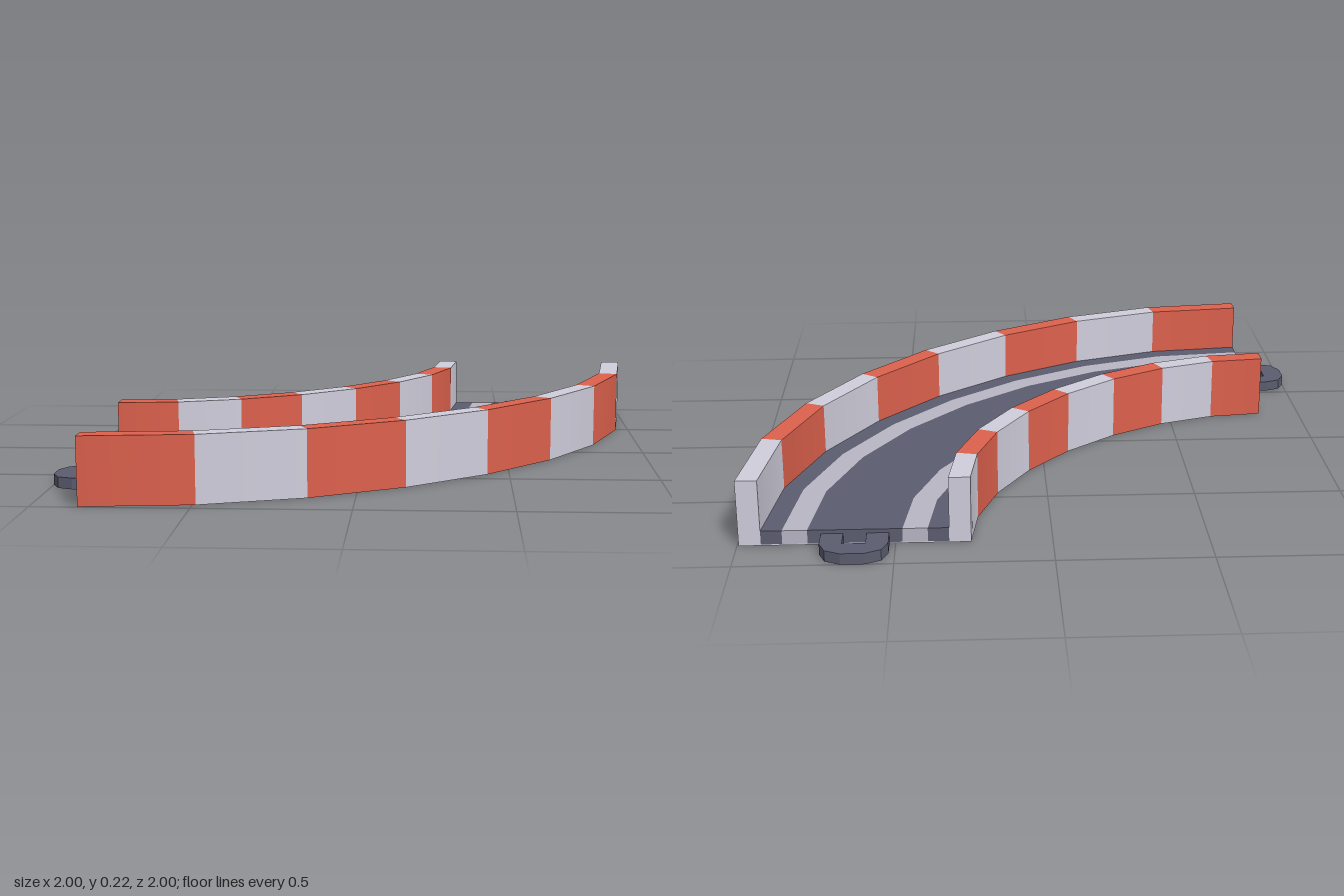
import * as THREE from 'three';
import { mergeGeometries } from 'three/addons/utils/BufferGeometryUtils.js';

const SEGMENTS = 8;
const CORNER = -0.85;      // x and z of the point the bend turns around
const RADIUS = 1.4775;     // centre line distance at both ends
const HALF = 0.3675;       // half width, walls included
const WALL_IN = 0.2975;    // inner face of each wall
const WALL_TOP = 0.222;
const ROAD_TOP = 0.05;
const PLATE = 0.004;

// Centre line of the bend, in the ground plane (x, z)
const path = new THREE.CubicBezierCurve(
  new THREE.Vector2(0, RADIUS), new THREE.Vector2(RADIUS / 2, RADIUS),
  new THREE.Vector2(RADIUS, RADIUS / 2), new THREE.Vector2(RADIUS, 0));

function outward(i) {
  const d = path.getTangent(i / SEGMENTS);
  return [-d.y, 0, d.x];
}

function point(i, offset, y) {
  const p = path.getPoint(i / SEGMENTS);
  const n = outward(i);
  return [CORNER + p.x + n[0] * offset, y, CORNER + p.y + n[2] * offset];
}

// One straight piece of the bend with a rectangular section, smooth along the bend
function piece(i, o0, o1, y0, y1) {
  const j = i + 1, pos = [], nor = [];
  const quad = (corners, normals) => {
    for (const k of [0, 1, 2, 0, 2, 3]) {
      pos.push(...corners[k]);
      nor.push(...normals[k]);
    }
  };
  const same = (n) => [n, n, n, n];
  const ni = outward(i), nj = outward(j);
  const mi = ni.map((v) => -v), mj = nj.map((v) => -v);
  quad([point(i, o1, y0), point(j, o1, y0), point(j, o1, y1), point(i, o1, y1)], [ni, nj, nj, ni]);
  quad([point(j, o0, y0), point(i, o0, y0), point(i, o0, y1), point(j, o0, y1)], [mj, mi, mi, mj]);
  quad([point(i, o1, y1), point(j, o1, y1), point(j, o0, y1), point(i, o0, y1)], same([0, 1, 0]));
  quad([point(i, o0, y0), point(j, o0, y0), point(j, o1, y0), point(i, o1, y0)], same([0, -1, 0]));
  // End caps only at the two ends of the bend
  if (i === 0) {
    quad([point(0, o0, y0), point(0, o1, y0), point(0, o1, y1), point(0, o0, y1)], same([-1, 0, 0]));
  }
  if (j === SEGMENTS) {
    quad([point(j, o1, y0), point(j, o0, y0), point(j, o0, y1), point(j, o1, y1)], same([0, 0, -1]));
  }
  const g = new THREE.BufferGeometry();
  g.setAttribute('position', new THREE.Float32BufferAttribute(pos, 3));
  g.setAttribute('normal', new THREE.Float32BufferAttribute(nor, 3));
  return g;
}

// Flat U-shaped coupling, pointing to -z
function loopGeometry() {
  const s = new THREE.Shape();
  const right = [[0.108, 0], [0.108, 0.075], [0.088, 0.125], [0.038, 0.15]];
  const inner = [[-0.037, 0], [-0.037, 0.075], [0.037, 0.075], [0.037, 0]];
  const left = right.map(([x, y]) => [-x, y]).reverse();
  s.setFromPoints([...right, ...left, ...inner].map(([x, y]) => new THREE.Vector2(x, y)));
  const g = new THREE.ExtrudeGeometry(s, { depth: 0.037, bevelEnabled: false });
  return g.rotateX(-Math.PI / 2);
}

export function createModel() {
  const model = new THREE.Group();
  const material = (name, color) => {
    const m = new THREE.MeshStandardMaterial({ color });
    m.name = name;
    return m;
  };
  const red = material('red', 0xdd614d);
  const white = material('pale grey', 0xd0cedc);
  const asphalt = material('dark slate', 0x5b5d70);
  const stripe = material('stripe grey', 0xb8b6c4);

  const add = (name, geometry, mat) => {
    const mesh = new THREE.Mesh(geometry, mat);
    mesh.name = name;
    model.add(mesh);
    return mesh;
  };
  const sweep = (indices, ...section) => mergeGeometries(indices.map((i) => piece(i, ...section)));
  const all = [...Array(SEGMENTS).keys()];

  // Walls and underside in alternating colours
  for (const [parity, mat, word] of [[0, red, 'Red'], [1, white, 'Pale']]) {
    const own = all.filter((i) => i % 2 === parity);
    add('outerWall' + word, sweep(own, WALL_IN, HALF, 0, WALL_TOP), mat);
    add('innerWall' + word, sweep(own, -HALF, -WALL_IN, 0, WALL_TOP), mat);
    add('underside' + word, sweep(own, -WALL_IN, WALL_IN, 0, PLATE), mat);
  }

  // Road surface: dark lanes separated by two lighter stripes
  const strips = [
    ['innerLane', -WALL_IN, -0.23, asphalt],
    ['innerStripe', -0.23, -0.15, stripe],
    ['middleLane', -0.15, 0.15, asphalt],
    ['outerStripe', 0.15, 0.23, stripe],
    ['outerLane', 0.23, WALL_IN, asphalt],
  ];
  for (const [name, o0, o1, mat] of strips) {
    add(name, sweep(all, o0, o1, PLATE, ROAD_TOP), mat);
  }

  // Coupling loops at both ends
  const loop = loopGeometry();
  const mid = CORNER + RADIUS;
  add('backLoop', loop, asphalt).position.set(mid, 0, CORNER);
  const side = add('sideLoop', loop, asphalt);
  side.position.set(CORNER, 0, mid);
  side.rotation.y = Math.PI / 2;

  return model;
}
